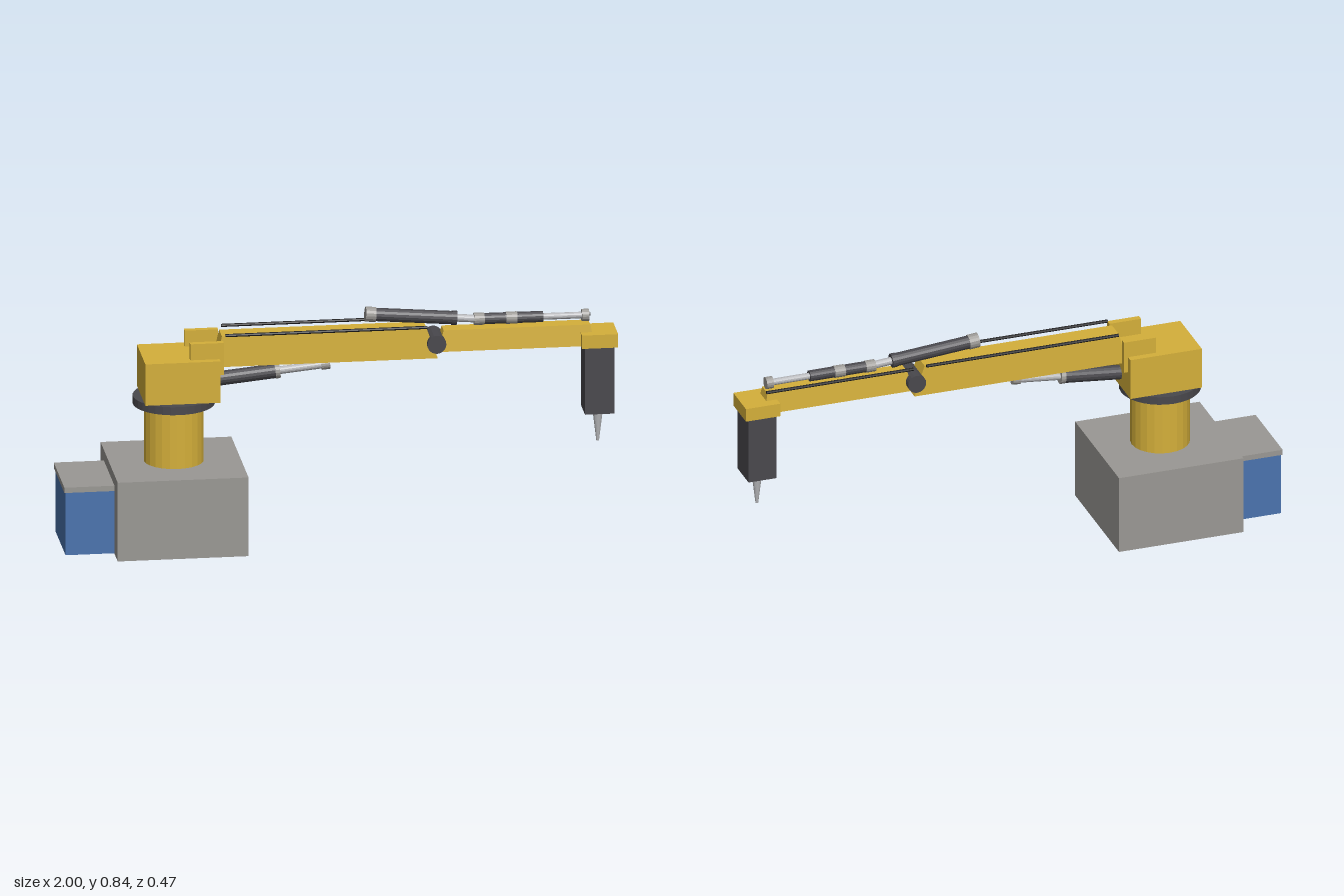
import * as THREE from 'three';

const mat = (name, color) => {
  const m = new THREE.MeshStandardMaterial({ color });
  m.name = name;
  return m;
};

export function createModel() {
  const model = new THREE.Group();
  model.name = 'roboticArm';
  const yellow = mat('machineYellow', 0xd4af3a);
  const grey = mat('concreteGrey', 0x9a9894);
  const dark = mat('darkSteel', 0x49484d);
  const steel = mat('lightSteel', 0xb4b5b8);
  const blue = mat('cabinetBlue', 0x4a73ae);
  const black = mat('hoseBlack', 0x1c1c1e);

  // faceted normals for a low-poly look
  const add = (name, geometry, material) => {
    const g = geometry.index ? geometry.toNonIndexed() : geometry;
    g.computeVertexNormals();
    const mesh = new THREE.Mesh(g, material);
    mesh.name = name;
    model.add(mesh);
    return mesh;
  };

  // box given by its limits on each axis
  const box = (name, material, [x0, x1], [y0, y1], [z0, z1]) => {
    const g = new THREE.BoxGeometry(x1 - x0, y1 - y0, z1 - z0);
    g.translate((x0 + x1) / 2, (y0 + y1) / 2, (z0 + z1) / 2);
    return add(name, g, material);
  };

  // round bar between two points
  const bar = (name, material, a, b, r0, r1 = r0, sides = 16) => {
    const from = new THREE.Vector3(...a), to = new THREE.Vector3(...b);
    const dir = to.clone().sub(from);
    const mesh = add(name, new THREE.CylinderGeometry(r1, r0, dir.length(), sides), material);
    mesh.position.copy(from).add(to).multiplyScalar(0.5);
    mesh.quaternion.setFromUnitVectors(new THREE.Vector3(0, 1, 0), dir.normalize());
    return mesh;
  };

  // beam whose top face is smaller than its bottom face
  const beam = (name, [x0, x1], [t0, t1], [y0, y1], wBottom, wTop) => {
    const g = new THREE.BoxGeometry(2, 2, 2);
    const p = g.attributes.position;
    for (let i = 0; i < p.count; i++) {
      const top = p.getY(i) > 0, right = p.getX(i) > 0;
      p.setXYZ(i, top ? (right ? t1 : t0) : (right ? x1 : x0),
        top ? y1 : y0, p.getZ(i) * (top ? wTop : wBottom));
    }
    return add(name, g, yellow);
  };

  // bars strung along a straight axis, each [name, material, x0, x1, radius]
  const ram = (a, b, parts) => {
    const at = (x) => [x, a[1] + (b[1] - a[1]) * (x - a[0]) / (b[0] - a[0]), 0];
    for (const [name, material, x0, x1, r] of parts) bar(name, material, at(x0), at(x1), r);
  };

  // pedestal and control cabinet
  box('base', grey, [-0.82, -0.35], [0, 0.295], [-0.235, 0.235]);
  box('cabinet', blue, [-0.995, -0.82], [0, 0.235], [-0.14, 0.14]);
  box('cabinetLid', grey, [-1, -0.82], [0.235, 0.255], [-0.145, 0.145]);

  // turning column and shoulder
  bar('column', yellow, [-0.588, 0.295, 0], [-0.588, 0.51, 0], 0.107, 0.107, 24);
  bar('slewRing', dark, [-0.588, 0.51, 0], [-0.588, 0.54, 0], 0.147, 0.147, 32);
  box('shoulder', yellow, [-0.705, -0.435], [0.54, 0.695], [-0.116, 0.116]);
  for (const s of [-1, 1])
    box('shoulderLug', yellow, [-0.54, -0.42], [0.635, 0.755], s < 0 ? [-0.09, -0.067] : [0.067, 0.09]);

  // two-part boom with its elbow pin
  beam('mainBoom', [-0.445, 0.355], [-0.42, 0.315], [0.65, 0.763], 0.045, 0.039);
  beam('foreBoom', [0.355, 0.92], [0.378, 0.905], [0.67, 0.748], 0.037, 0.029);
  bar('elbowPin', dark, [0.35, 0.705, -0.059], [0.35, 0.705, 0.059], 0.034, 0.034, 20);

  // hoses along the boom
  for (const z of [-0.059, 0.059]) bar('mainHose', black, [-0.41, 0.772, z], [0.315, 0.772, z], 0.006, 0.006, 8);
  bar('foreHose', black, [0.36, 0.762, -0.048], [0.915, 0.762, -0.048], 0.006, 0.006, 8);

  // upper rams
  ram([0.1, 0.812], [0.51, 0.777], [
    ['upperRamCap', grey, 0.1, 0.137, 0.027],
    ['upperRamBarrel', dark, 0.137, 0.415, 0.024],
    ['upperRamCollar', dark, 0.41, 0.428, 0.026],
    ['upperRamRod', steel, 0.428, 0.51, 0.014],
  ]);
  ram([0.49, 0.777], [0.9, 0.775], [
    ['foreRamRearCap', grey, 0.49, 0.527, 0.022],
    ['foreRamRearBarrel', dark, 0.527, 0.605, 0.02],
    ['foreRamBand', grey, 0.605, 0.645, 0.022],
    ['foreRamBarrel', dark, 0.645, 0.738, 0.02],
    ['foreRamRod', steel, 0.738, 0.88, 0.012],
    ['foreRamEnd', grey, 0.877, 0.903, 0.022],
  ]);

  // lifting ram under the boom
  ram([-0.48, 0.588], [-0.03, 0.632], [
    ['liftRamBarrel', dark, -0.48, -0.225, 0.026],
    ['liftRamCollar', grey, -0.225, -0.208, 0.028],
    ['liftRamRod', steel, -0.208, -0.05, 0.014],
    ['liftRamEnd', grey, -0.058, -0.028, 0.019],
  ]);

  // wrist and tool
  box('wrist', yellow, [0.87, 1], [0.67, 0.72], [-0.068, 0.068]);
  box('toolHead', dark, [0.882, 0.987], [0.42, 0.67], [-0.059, 0.059]);
  bar('nozzle', steel, [0.935, 0.303, 0], [0.935, 0.42, 0], 0.005, 0.019);
  return model;
}
